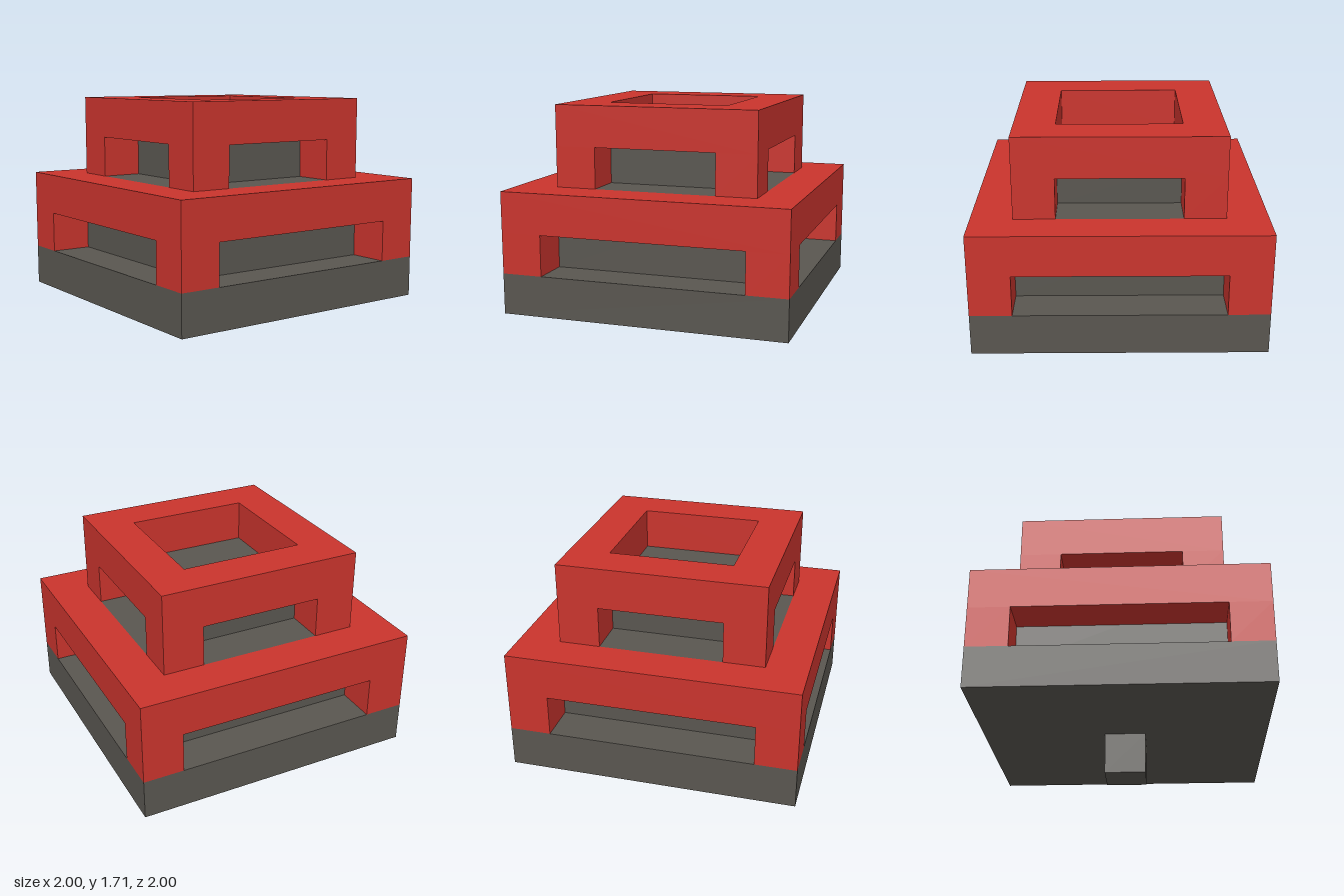
import * as THREE from 'three';

const U = 1 / 7; // modular unit: the model is 14 units wide and 12 high

const red = new THREE.MeshStandardMaterial({ color: 0xc9342d });
red.name = 'red';
const grey = new THREE.MeshStandardMaterial({ color: 0x595650 });
grey.name = 'warm grey';

// Square block centred on the axis, from height y0 to y1 (in units)
function block(name, width, y0, y1, material, x = 0, z = 0) {
  const mesh = new THREE.Mesh(new THREE.BoxGeometry(width * U, (y1 - y0) * U, width * U), material);
  mesh.position.set(x * U, ((y0 + y1) / 2) * U, z * U);
  mesh.name = name;
  return mesh;
}

function square(target, half) {
  target.moveTo(-half, -half);
  target.lineTo(half, -half);
  target.lineTo(half, half);
  target.lineTo(-half, half);
  target.closePath();
  return target;
}

// Square ring, 2 units thick, carried on four 2-unit corner posts
function frame(name, width, y0) {
  const group = new THREE.Group();
  group.name = name;

  const shape = square(new THREE.Shape(), (width / 2) * U);
  shape.holes.push(square(new THREE.Path(), (width / 2 - 2) * U));
  const geometry = new THREE.ExtrudeGeometry(shape, { depth: 2 * U, bevelEnabled: false });
  geometry.rotateX(-Math.PI / 2);
  const ring = new THREE.Mesh(geometry, red);
  ring.position.y = (y0 + 2) * U;
  ring.name = name + 'Ring';
  group.add(ring);

  const c = width / 2 - 1;
  for (const sx of [-1, 1]) {
    for (const sz of [-1, 1]) {
      group.add(block(name + 'Post', 2, y0, y0 + 2, red, sx * c, sz * c));
    }
  }
  return group;
}

export function createModel() {
  const model = new THREE.Group();
  model.name = 'steppedTower';
  model.add(
    block('stem', 2, 0, 2, grey),
    block('basePlate', 14, 2, 4, grey),
    block('lowerCore', 10, 4, 8, grey),
    frame('lowerFrame', 14, 4),
    block('upperCore', 6, 8, 10, grey),
    frame('upperFrame', 10, 8),
  );
  return model;
}
